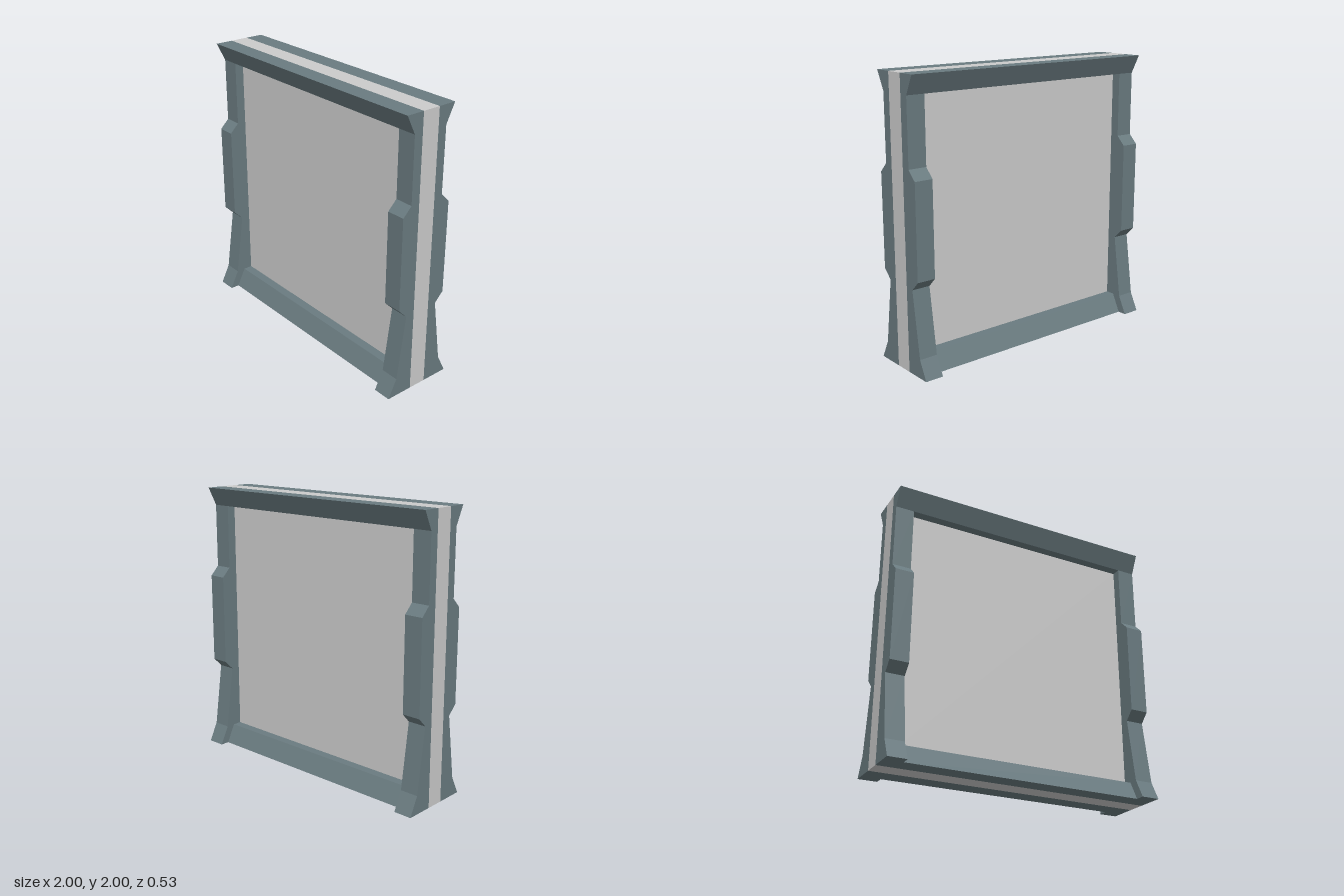
import * as THREE from 'three';

const T = 0.0667; // half thickness of the panel
const W = 0.1333; // width of the frame members

// Extrudes a (z, y) profile along x, centred on the given x
function bar(name, profile, length, x, material) {
  const shape = new THREE.Shape(profile.map(([z, y]) => new THREE.Vector2(z, y)));
  const geometry = new THREE.ExtrudeGeometry(shape, { depth: length, bevelEnabled: false });
  geometry.translate(0, 0, -length / 2).rotateY(-Math.PI / 2).translate(x, 0, 0);
  const mesh = new THREE.Mesh(geometry, material);
  mesh.name = name;
  return mesh;
}

export function createModel() {
  const model = new THREE.Group();
  model.name = 'wallPanel';
  const grey = new THREE.MeshStandardMaterial({ color: 0xcccccc, flatShading: true });
  const trim = new THREE.MeshStandardMaterial({ color: 0x6a7b80, flatShading: true });

  // Central slab
  const panel = new THREE.Mesh(new THREE.BoxGeometry(2, 2, 2 * T), grey);
  panel.name = 'panel';
  panel.position.y = 1;
  model.add(panel);

  // Side post: flared foot, tapered shin, raised middle block, plain upper part
  const post = [
    [T, 0], [0.2667, 0], [0.2, W], [0.1333, 0.6], [0.2, 0.6667],
    [0.2, 1.3333], [0.1333, 1.4], [0.1333, 2 - W], [T, 2 - W],
  ];
  const topRail = [[T, 2 - W], [0.1333, 2 - W], [0.2, 2], [T, 2]];
  const bottomRail = [[T, 0], [0.2, 0], [0.1333, W], [T, W]];

  // The same frame on the front and the back
  for (const [name, turn] of [['frontFrame', 0], ['backFrame', Math.PI]]) {
    const frame = new THREE.Group();
    frame.name = name;
    frame.add(
      bar('leftPost', post, W, 1 - W / 2, trim),
      bar('rightPost', post, W, -1 + W / 2, trim),
      bar('topRail', topRail, 2, 0, trim),
      bar('bottomRail', bottomRail, 2 - 2 * W, 0, trim),
    );
    frame.rotation.y = turn;
    model.add(frame);
  }
  return model;
}
